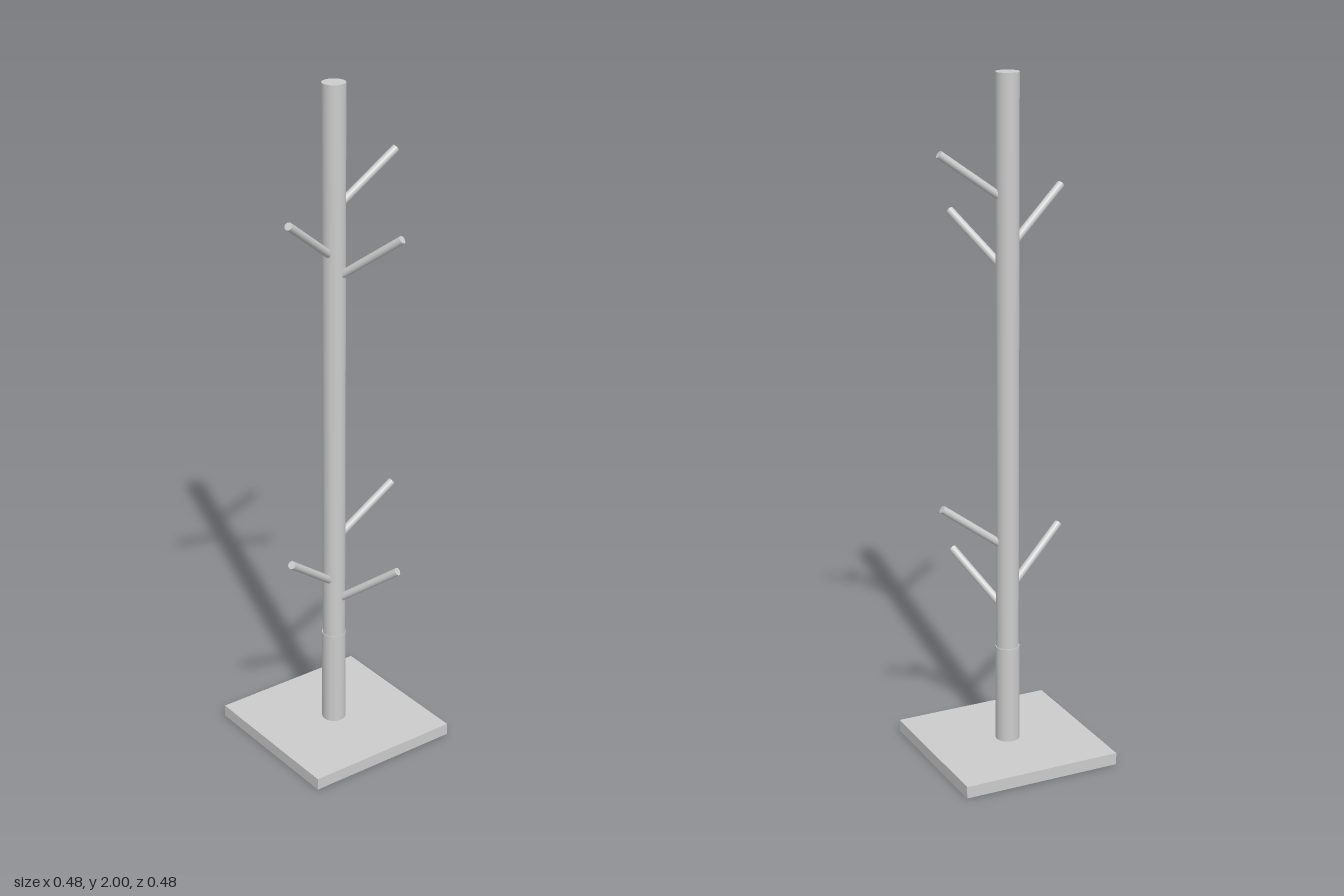
import * as THREE from 'three';

const material = new THREE.MeshStandardMaterial({ color: 0xcccccc });

function add(parent, name, geometry, x, y, z) {
  const mesh = new THREE.Mesh(geometry, material);
  mesh.name = name;
  mesh.position.set(x, y, z);
  parent.add(mesh);
  return mesh;
}

// A round peg running from the post's axis to its tip
function addPeg(parent, name, start, tip) {
  const along = tip.clone().sub(start);
  const mid = start.clone().add(tip).multiplyScalar(0.5);
  const peg = add(parent, name, new THREE.CylinderGeometry(0.0115, 0.0115, along.length(), 24), mid.x, mid.y, mid.z);
  peg.quaternion.setFromUnitVectors(new THREE.Vector3(0, 1, 0), along.normalize());
}

export function createModel() {
  const group = new THREE.Group();
  group.name = 'coatStand';

  // Square foot plate
  const baseH = 0.036;
  add(group, 'base', new THREE.BoxGeometry(0.48, baseH, 0.48), 0, baseH / 2, 0);

  // Sleeve around the foot of the post
  const sleeveTop = 0.33;
  add(group, 'sleeve', new THREE.CylinderGeometry(0.035, 0.035, sleeveTop - 0.02, 48), -0.003, (sleeveTop + 0.02) / 2, -0.003);

  // Tall post
  const px = -0.003, pz = -0.002;
  add(group, 'post', new THREE.CylinderGeometry(0.033, 0.033, 1.98, 48), px, 1.01, pz);

  // Two tiers of three pegs: height at the axis, then the tip
  const pegs = [
    ['leftPeg', 1.645, [0.193, 1.788, 0.017]],
    ['rightPeg', 1.509, [-0.205, 1.664, 0.071]],
    ['frontPeg', 1.446, [0.087, 1.596, 0.183]],
  ];
  for (const [tier, drop] of [['upper', 0], ['lower', 1.011]]) {
    const tierGroup = new THREE.Group();
    tierGroup.name = tier + 'Pegs';
    for (const [name, y, tip] of pegs) {
      addPeg(tierGroup, name, new THREE.Vector3(px, y, pz), new THREE.Vector3(...tip));
    }
    tierGroup.position.y = -drop;
    group.add(tierGroup);
  }
  return group;
}
